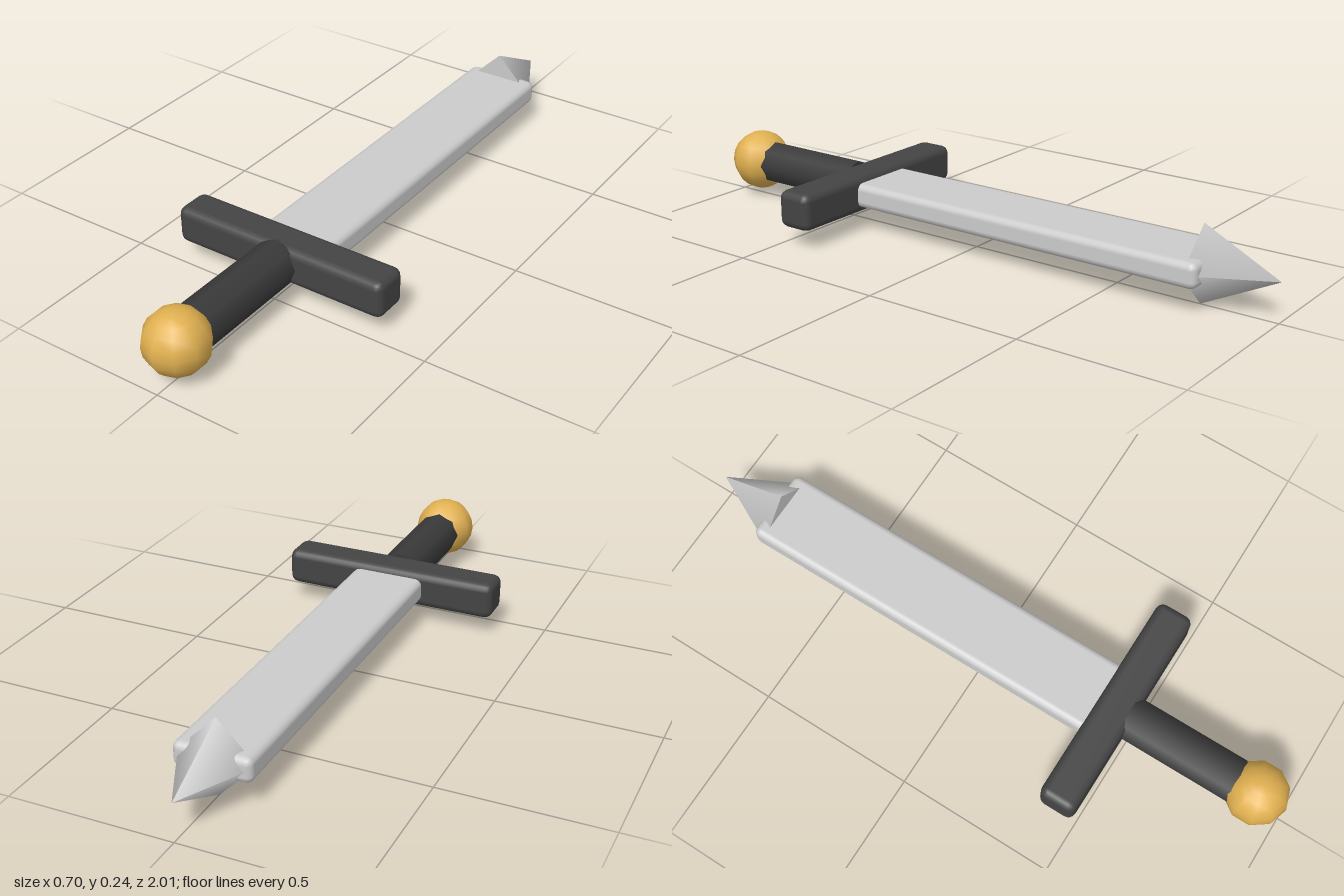
import * as THREE from 'three';
import { RoundedBoxGeometry } from 'three/addons/geometries/RoundedBoxGeometry.js';

export function createModel() {
  const model = new THREE.Group();
  model.name = 'sword';
  const midY = 0.119; // height of the sword's long axis

  const steel = new THREE.MeshStandardMaterial({ color: 0xcccccc });
  const dark = new THREE.MeshStandardMaterial({ color: 0x444444 });
  const grip = new THREE.MeshStandardMaterial({ color: 0x3a3a3a });
  const gold = new THREE.MeshStandardMaterial({ color: 0xe0b050 });

  const add = (name, geometry, material, z) => {
    const mesh = new THREE.Mesh(geometry, material);
    mesh.name = name;
    mesh.position.set(0, midY, z);
    model.add(mesh);
  };

  // Flat blade with rounded edges, running into the guard
  add('blade', new RoundedBoxGeometry(0.236, 0.077, 1.235, 2, 0.022), steel, -0.188);

  // Four-sided point, long axis toward -z
  add('bladeTip', new THREE.ConeGeometry(0.118, 0.235, 4).rotateX(-Math.PI / 2), steel, -0.8825);

  // Cross guard
  add('guard', new RoundedBoxGeometry(0.704, 0.117, 0.117, 2, 0.025), dark, 0.433);

  // Eight-sided handle
  add('handle', new THREE.CylinderGeometry(0.07, 0.07, 0.39, 8).rotateX(Math.PI / 2), grip, 0.67);

  // Faceted ball pommel, with a corner column on the z axis
  add('pommel', new THREE.SphereGeometry(0.097, 10, 10).rotateY(Math.PI / 10), gold, 0.908);

  return model;
}
